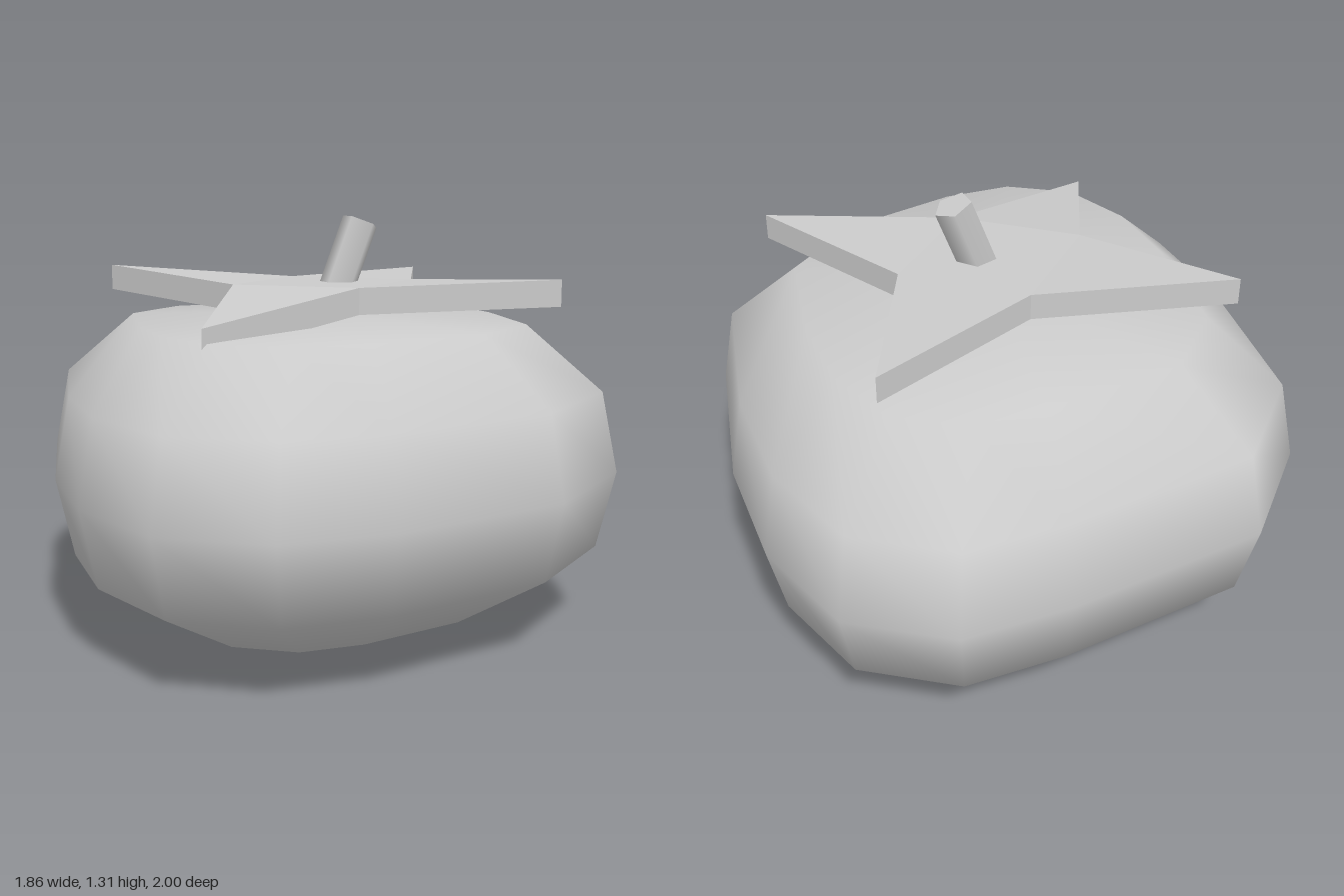
import * as THREE from 'three';

const grey = () => new THREE.MeshStandardMaterial({ color: 0xcccccc });

// Squarish fruit: one lopsided outline, scaled ring by ring between two poles
function makeFruit() {
  const outline = [
    [0.91, 0], [0.78, 0.58], [0.39, 0.88], [-0.2, 1], [-0.54, 0.98], [-0.82, 0.78], [-0.93, 0.41],
    [-0.915, 0], [-0.78, -0.65], [-0.46, -0.95], [0.2, -1], [0.54, -0.985], [0.82, -0.78], [0.925, -0.42],
  ];
  const rings = [[0.05, 0.605], [0.25, 0.94], [0.5, 1], [0.76, 0.945], [0.97, 0.69]]; // height, scale
  const n = outline.length;
  const pos = [0, 0, 0];
  for (const [y, s] of rings) for (const [x, z] of outline) pos.push(x * s, y, z * s);
  pos.push(0, 1, 0);
  const top = pos.length / 3 - 1;
  const index = [];
  for (let i = 0; i < n; i++) {
    const j = (i + 1) % n;
    index.push(0, 1 + i, 1 + j);
    for (let r = 0; r < rings.length - 1; r++) {
      const a = 1 + r * n, b = a + n;
      index.push(a + i, b + i, b + j, a + i, b + j, a + j);
    }
    const last = 1 + (rings.length - 1) * n;
    index.push(last + i, top, last + j);
  }
  const geo = new THREE.BufferGeometry();
  geo.setAttribute('position', new THREE.Float32BufferAttribute(pos, 3));
  geo.setIndex(index);
  geo.computeVertexNormals();
  return geo;
}

// Four-pointed leaf star with unevenly bent tips
function makeCalyx() {
  const points = [
    [0.32, 0], [0.59, 0.53], [0, 0.29], [-0.59, 0.53],
    [-0.32, 0], [-0.59, -0.52], [0, -0.285], [0.59, -0.52],
  ];
  const shape = new THREE.Shape(points.map(([x, y]) => new THREE.Vector2(x, y)));
  const geo = new THREE.ExtrudeGeometry(shape, { depth: 0.085, bevelEnabled: false });
  geo.rotateX(-Math.PI / 2);
  geo.translate(0, 1.01, 0);
  const p = geo.attributes.position;
  for (let i = 0; i < p.count; i++) {
    const x = p.getX(i), z = p.getZ(i);
    if (Math.abs(x) < 0.5) continue;
    const bend = z > 0 ? (x > 0 ? 0.025 : -0.08) : (x > 0 ? 0.005 : 0.04);
    p.setY(i, p.getY(i) + bend);
  }
  geo.computeVertexNormals();
  return geo;
}

export function createModel() {
  const group = new THREE.Group();
  const add = (name, geo) => {
    const mesh = new THREE.Mesh(geo, grey());
    mesh.name = name;
    group.add(mesh);
    return mesh;
  };

  add('fruitBody', makeFruit());
  add('leafCalyx', makeCalyx());

  // Leaning five-sided stem
  const stem = add('stem', new THREE.CylinderGeometry(0.063, 0.063, 0.33, 5, 1, false, Math.PI / 2));
  stem.position.set(0.071, 1.139, 0);
  stem.rotation.z = -0.37;

  return group;
}
